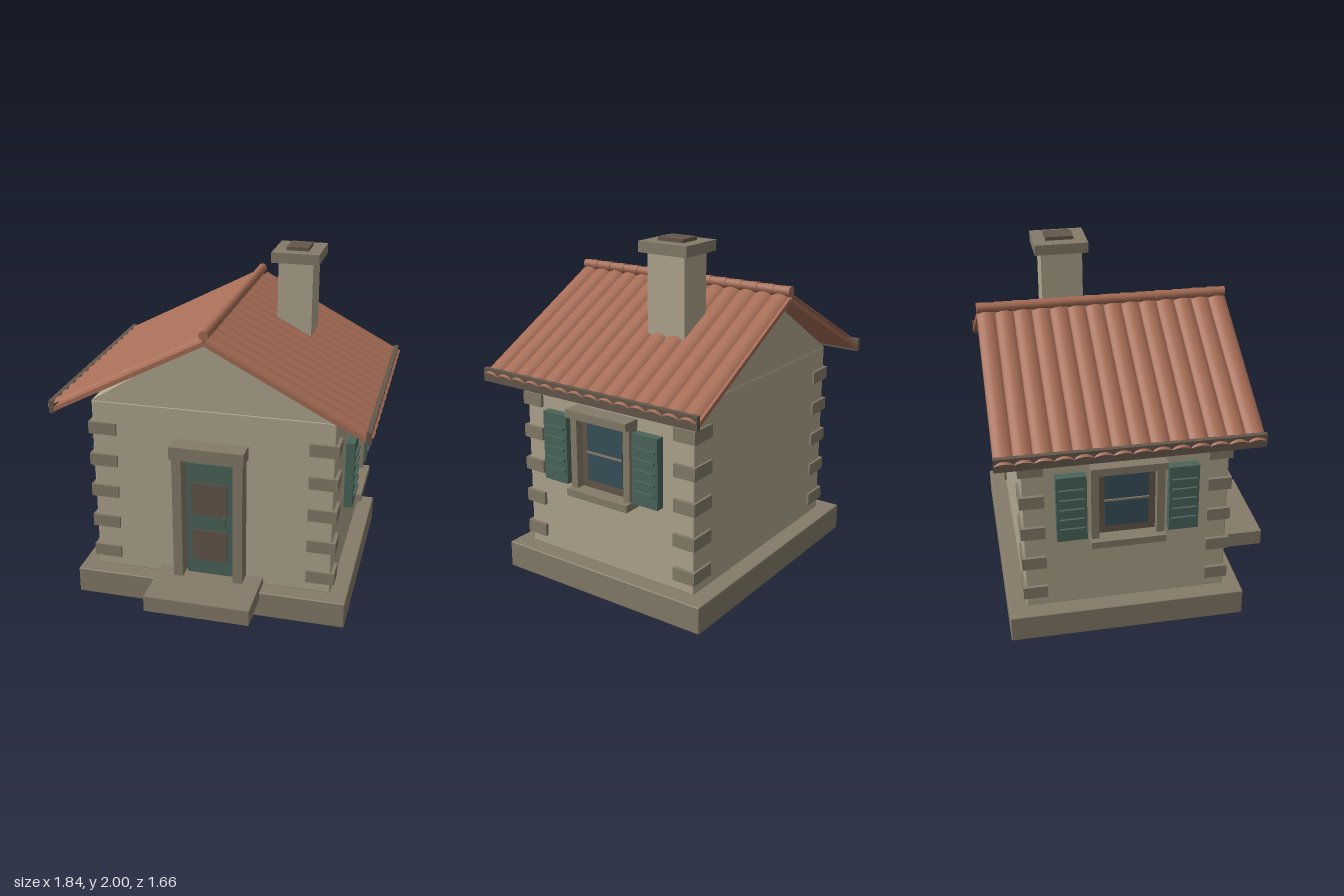
import * as THREE from 'three';
import { RoundedBoxGeometry } from 'three/addons/geometries/RoundedBoxGeometry.js';

const material = (name, color, side = THREE.FrontSide) => {
  const m = new THREE.MeshStandardMaterial({ color, side });
  m.name = name;
  return m;
};

export function createModel() {
  const plaster = material('plaster', 0xb0a68e);
  const stone = material('stone', 0x857b68);
  const clay = material('clay', 0xa56c55, THREE.DoubleSide);
  const green = material('greenPaint', 0x4a655b);
  const wood = material('darkWood', 0x64574b);
  const glass = material('glass', 0x37505a);
  const midZ = -0.11;

  const house = new THREE.Group();
  house.name = 'cottage';

  const add = (parent, name, geometry, mat) => {
    const mesh = new THREE.Mesh(geometry, mat);
    mesh.name = name;
    parent.add(mesh);
    return mesh;
  };
  // Box given by its limits on each axis, optionally with rounded edges
  const box = (parent, name, mat, [x0, x1], [y0, y1], [z0, z1], round = 0) => {
    const size = [x1 - x0, y1 - y0, z1 - z0];
    const geometry = round
      ? new RoundedBoxGeometry(...size, 2, round)
      : new THREE.BoxGeometry(...size);
    const mesh = add(parent, name, geometry, mat);
    mesh.position.set((x0 + x1) / 2, (y0 + y1) / 2, (z0 + z1) / 2);
    return mesh;
  };
  const group = (parent, name) => {
    const g = new THREE.Group();
    g.name = name;
    parent.add(g);
    return g;
  };

  // Foundation, step and walls
  box(house, 'foundation', stone, [-0.805, 0.805], [0, 0.16], [-0.785, 0.565], 0.008);
  box(house, 'doorStep', stone, [-0.307, 0.307], [0.11, 0.205], [0.44, 0.83]);
  box(house, 'walls', plaster, [-0.705, 0.705], [0.155, 1.225], [-0.683, 0.467], 0.01);
  const gable = new THREE.Shape([
    new THREE.Vector2(-0.705, 1.222),
    new THREE.Vector2(0.705, 1.222),
    new THREE.Vector2(0, 1.665),
  ]);
  add(house, 'gable', new THREE.ExtrudeGeometry(gable, { depth: 1.146, bevelEnabled: false }), plaster)
    .position.z = -0.681;

  // Corner stones
  const quoins = group(house, 'cornerStones');
  for (const s of [-1, 1]) {
    for (const z of [[0.35, 0.483], [-0.697, -0.56]]) {
      for (let i = 0; i < 5; i++) {
        const y = 0.222 + i * 0.2;
        const x = s > 0 ? [0.56, 0.725] : [-0.725, -0.56];
        box(quoins, 'cornerStone', stone, x, [y, y + 0.074], z);
      }
    }
  }

  // Front door
  const door = group(house, 'door');
  box(door, 'doorBacking', wood, [-0.16, 0.16], [0.2, 0.965], [0.45, 0.477]);
  box(door, 'doorLeaf', green, [-0.138, 0.138], [0.205, 0.915], [0.46, 0.505]);
  for (const y of [[0.3, 0.495], [0.595, 0.795]]) {
    box(door, 'doorPanel', wood, [-0.105, 0.103], y, [0.504, 0.512]);
  }
  box(door, 'doorHandle', green, [0.08, 0.096], [0.535, 0.597], [0.504, 0.53]);
  for (const x of [[-0.205, -0.15], [0.15, 0.205]]) {
    box(door, 'doorJamb', stone, x, [0.2, 0.965], [0.45, 0.568]);
  }
  box(door, 'doorLintel', stone, [-0.215, 0.215], [0.96, 1.037], [0.45, 0.585]);

  // Each side has a window and a roof slope; the second is turned half round
  const angle = Math.atan(0.524);
  const tileRadius = 0.076;
  const tileArc = 0.7;
  const pitch = 0.1018;
  const tileGeometry = new THREE.CylinderGeometry(
    tileRadius, tileRadius, 0.995, 10, 1, true, Math.PI / 2 - tileArc, tileArc * 2);
  tileGeometry.rotateZ(Math.PI / 2);

  ['left', 'right'].forEach((side, i) => {
    const half = group(house, side + 'Side');
    half.position.z = midZ;
    half.rotation.y = i * Math.PI;

    // Window
    const win = group(half, side + 'Window');
    box(win, 'windowFrame', wood, [0.69, 0.725], [0.61, 1.05], [-0.17, 0.17]);
    box(win, 'windowGlass', glass, [0.724, 0.73], [0.667, 1.0], [-0.122, 0.122]);
    box(win, 'glazingBar', stone, [0.724, 0.738], [0.829, 0.84], [-0.122, 0.122]);
    box(win, 'windowLintel', stone, [0.69, 0.812], [1.04, 1.085], [-0.208, 0.208]);
    box(win, 'windowSill', stone, [0.69, 0.812], [0.58, 0.622], [-0.208, 0.208]);
    for (const s of [-1, 1]) {
      const span = (a, b) => (s > 0 ? [a, b] : [-b, -a]);
      box(win, 'windowJamb', stone, [0.69, 0.775], [0.62, 1.042], span(0.16, 0.203));
      box(win, 'shutter', green, [0.733, 0.783], [0.632, 1.033], span(0.226, 0.392));
      for (let k = 0; k < 5; k++) {
        const y = 0.7 + k * 0.0615;
        box(win, 'shutterSlat', green, [0.78, 0.797], [y, y + 0.015], span(0.24, 0.378));
      }
    }

    // Roof slope: local x runs down the slope, local y stands off it
    const slope = group(half, side + 'RoofSlope');
    slope.position.y = 1.663;
    slope.rotation.z = -angle;
    box(slope, 'roofDeck', clay, [0, 1.0], [-0.012, 0.012], [-0.713, 0.713]);
    for (let k = 0; k < 14; k++) {
      add(slope, 'roofTile', tileGeometry, clay)
        .position.set(0.515, 0.047 - tileRadius, (k - 6.5) * pitch);
    }
    box(half, 'eaveBoard', wood, [0.875, 0.903], [1.18, 1.255], [-0.716, 0.716]);
  });

  // Ridge of overlapping tapered caps
  const ridge = group(house, 'ridge');
  const capGeometry = new THREE.CylinderGeometry(0.026, 0.03, pitch, 16);
  capGeometry.rotateX(Math.PI / 2);
  for (let k = 0; k < 14; k++) {
    add(ridge, 'ridgeCap', capGeometry, clay)
      .position.set(0, 1.707, midZ + (k - 6.5) * pitch);
  }

  // Chimney
  const chimney = group(house, 'chimney');
  box(chimney, 'chimneyStack', plaster, [0.232, 0.436], [1.39, 1.925], [-0.428, -0.188]);
  box(chimney, 'chimneyCap', stone, [0.195, 0.475], [1.92, 1.98], [-0.465, -0.155]);
  box(chimney, 'chimneyFlue', wood, [0.27, 0.4], [1.97, 2.0], [-0.393, -0.232]);

  return house;
}
